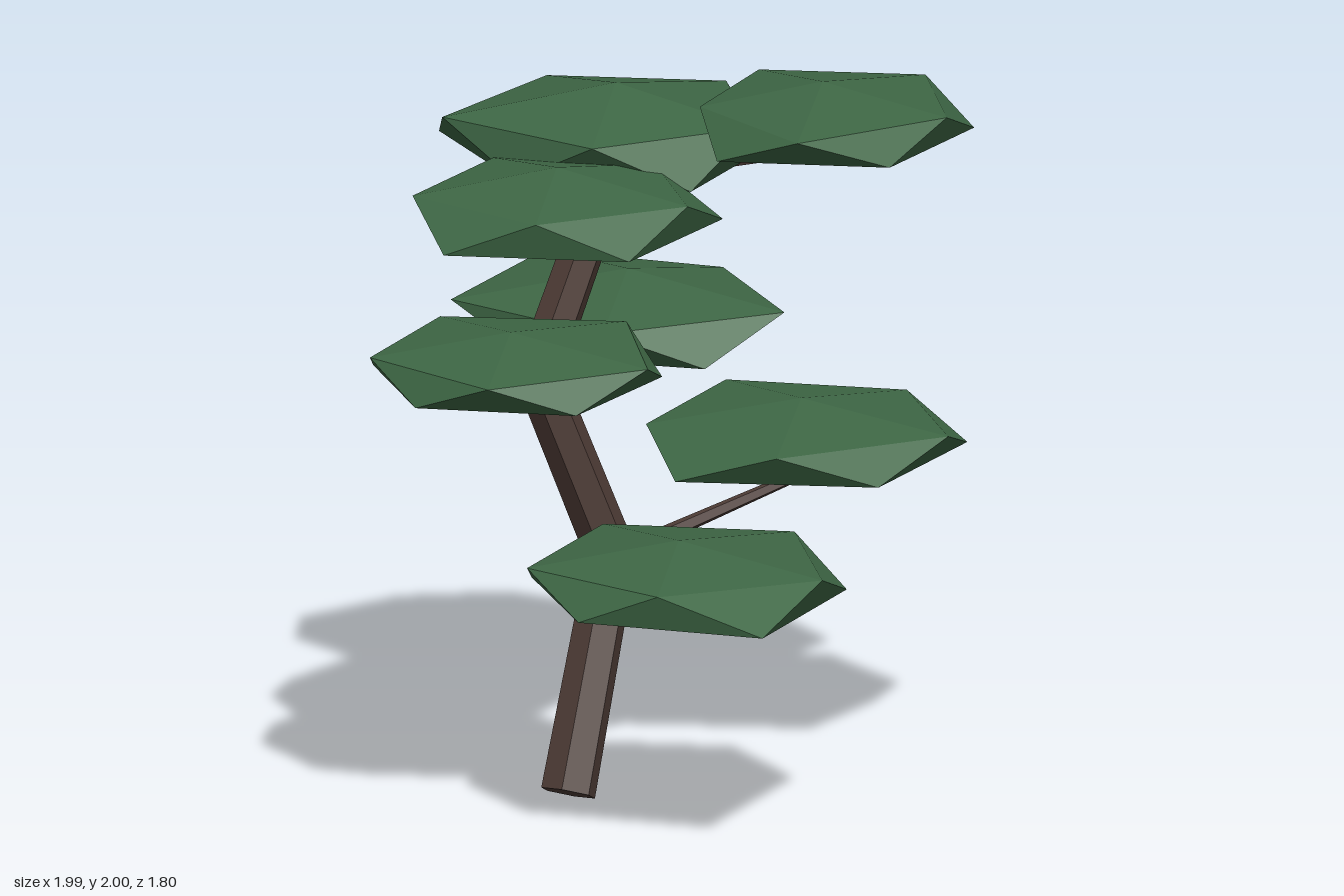
import * as THREE from 'three';

const bark = new THREE.MeshStandardMaterial({ color: 0x4e3c36, flatShading: true });
bark.name = 'bark brown';
const leaf = new THREE.MeshStandardMaterial({ color: 0x3e6745, flatShading: true });
leaf.name = 'leaf green';

// Tapered limb between two points
function limb(name, a, b, r0, r1, sides) {
  const from = new THREE.Vector3(...a), to = new THREE.Vector3(...b);
  const dir = to.clone().sub(from);
  const mesh = new THREE.Mesh(new THREE.CylinderGeometry(r1, r0, dir.length(), sides), bark);
  mesh.quaternion.setFromUnitVectors(new THREE.Vector3(0, 1, 0), dir.normalize());
  mesh.position.copy(from).add(to).multiplyScalar(0.5);
  mesh.name = name;
  return mesh;
}

// Flattened icosahedron: two poles and a zigzag belt of ten points, each with its own radius
function foliagePad(name, center, halfHeight, radii) {
  const points = radii.map((r, k) => {
    const angle = (k * Math.PI) / 5;
    const y = (k % 2 ? -0.447 : 0.447) * halfHeight;
    return [r * Math.cos(angle), y, r * Math.sin(angle)];
  });
  points.push([0, halfHeight, 0], [0, -halfHeight, 0]);
  const index = [];
  for (let k = 0; k < 10; k++) {
    const k1 = (k + 1) % 10, k2 = (k + 2) % 10;
    if (k % 2 === 0) index.push(10, k2, k, k, k2, k1);
    else index.push(11, k, k2, k, k1, k2);
  }
  const indexed = new THREE.BufferGeometry();
  indexed.setAttribute('position', new THREE.Float32BufferAttribute(points.flat(), 3));
  indexed.setIndex(index);
  const geometry = indexed.toNonIndexed();
  geometry.computeVertexNormals();
  const mesh = new THREE.Mesh(geometry, leaf);
  mesh.position.set(...center);
  mesh.name = name;
  return mesh;
}

export function createModel() {
  const tree = new THREE.Group();
  tree.name = 'tree';

  // Zigzag trunk
  const joints = [[-0.22, 0.027, -0.035], [0.02, 0.64, -0.105], [-0.165, 1.17, -0.205], [0.085, 1.76, -0.15]];
  const radius = [0.078, 0.07, 0.066, 0.06];
  for (let i = 0; i < 3; i++) {
    tree.add(limb('trunkSegment' + (i + 1), joints[i], joints[i + 1], radius[i], radius[i + 1], 6));
  }

  // Branches: start point, end point
  const low = [0.02, 0.635, -0.105], mid = [-0.165, 1.165, -0.205], high = [0.07, 1.7, -0.15];
  const branches = {
    lowFrontBranch: [low, [-0.26, 0.635, 0.43]],
    lowLeftBranch: [low, [0.6, 0.8, 0.07]],
    midBackBranch: [mid, [0.4, 1.11, -0.42]],
    midRightBranch: [mid, [-0.63, 1.25, 0.15]],
    topRightBranch: [high, [-0.43, 1.67, 0.13]],
    topFrontBranch: [high, [0.38, 1.81, 0.35]],
  };
  for (const [name, [a, b]] of Object.entries(branches)) tree.add(limb(name, a, b, 0.026, 0.015, 5));

  // Foliage pads: centre, half height, belt radii every 36 degrees starting at +x towards +z
  const pads = {
    lowFrontFoliage: [[-0.26, 0.728, 0.43], 0.11, [0.45, 0.466, 0.44, 0.5, 0.38, 0.39, 0.42, 0.45, 0.45, 0.44]],
    lowLeftFoliage: [[0.58, 0.913, 0.07], 0.1, [0.41, 0.46, 0.45, 0.46, 0.445, 0.49, 0.43, 0.39, 0.45, 0.39]],
    midBackFoliage: [[0.4, 1.2, -0.42], 0.122, [0.37, 0.36, 0.48, 0.46, 0.45, 0.39, 0.49, 0.5, 0.5, 0.34]],
    midRightFoliage: [[-0.63, 1.345, 0.15], 0.1, [0.45, 0.42, 0.42, 0.39, 0.41, 0.37, 0.39, 0.42, 0.42, 0.45]],
    topRightFoliage: [[-0.43, 1.755, 0.13], 0.115, [0.38, 0.46, 0.4, 0.43, 0.38, 0.44, 0.4, 0.41, 0.38, 0.42]],
    topBackFoliage: [[0.08, 1.82, -0.15], 0.14, [0.43, 0.42, 0.42, 0.45, 0.42, 0.39, 0.48, 0.54, 0.41, 0.52]],
    topFrontFoliage: [[0.38, 1.897, 0.35], 0.103, [0.4, 0.42, 0.38, 0.4, 0.45, 0.41, 0.34, 0.36, 0.38, 0.45]],
  };
  for (const [name, args] of Object.entries(pads)) tree.add(foliagePad(name, ...args));

  return tree;
}
